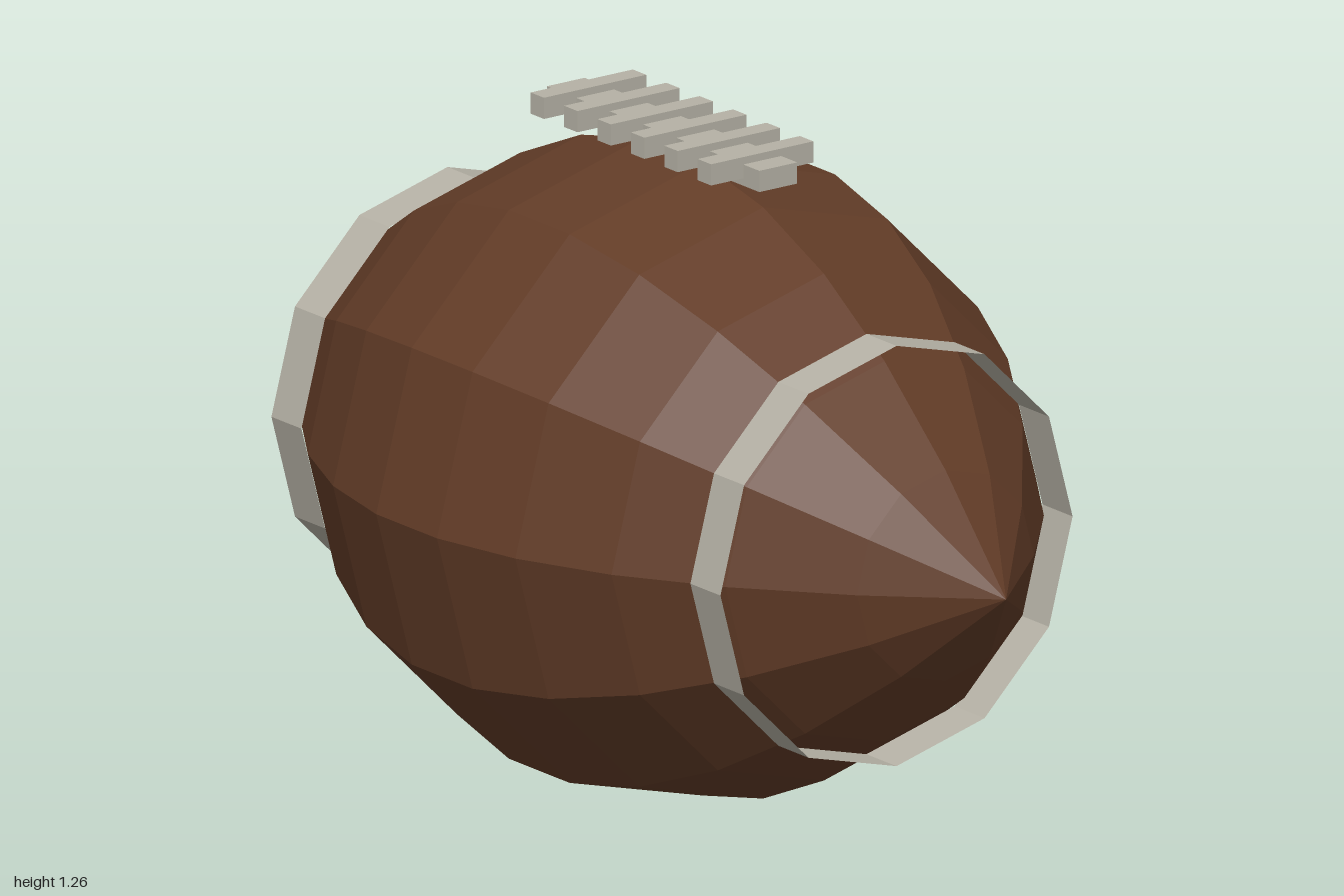
import * as THREE from 'three';

const SIDES = 12;
const RADIUS = 0.602;

export function createModel() {
  const leather = new THREE.MeshStandardMaterial({ color: 0x623c27, flatShading: true });
  leather.name = 'brown leather';
  const trim = new THREE.MeshStandardMaterial({ color: 0xb5b1a5, flatShading: true, side: THREE.DoubleSide });
  trim.name = 'pale trim';

  const ball = new THREE.Group();
  ball.name = 'ball';
  const add = (name, geometry, material, x, y, z) => {
    const mesh = new THREE.Mesh(geometry, material);
    mesh.name = name;
    mesh.position.set(x, y, z);
    ball.add(mesh);
  };

  // Body: parabolic profile turned around the long z axis
  const profile = [];
  for (let i = 0; i <= 11; i++) {
    const t = -1 + (2 * i) / 11;
    profile.push(new THREE.Vector2(RADIUS * (1 - t * t), t));
  }
  add('body', new THREE.LatheGeometry(profile, SIDES).rotateX(Math.PI / 2), leather, 0, RADIUS, 0);

  // Open bands near both tips
  const band = new THREE.CylinderGeometry(0.396, 0.396, 0.09, SIDES, 1, true).rotateX(Math.PI / 2);
  add('frontBand', band, trim, 0, RADIUS, 0.627);
  add('backBand', band, trim, 0, RADIUS, -0.627);

  // Lacing on top: one long strip with six cross stitches
  add('laceStrip', new THREE.BoxGeometry(0.085, 0.04, 0.636), trim, 0, 1.227, 0);
  const stitch = new THREE.BoxGeometry(0.23, 0.04, 0.04);
  for (let i = 0; i < 6; i++) {
    add('laceStitch' + (i + 1), stitch, trim, 0, 1.241, -0.25 + i * 0.1);
  }
  return ball;
}
